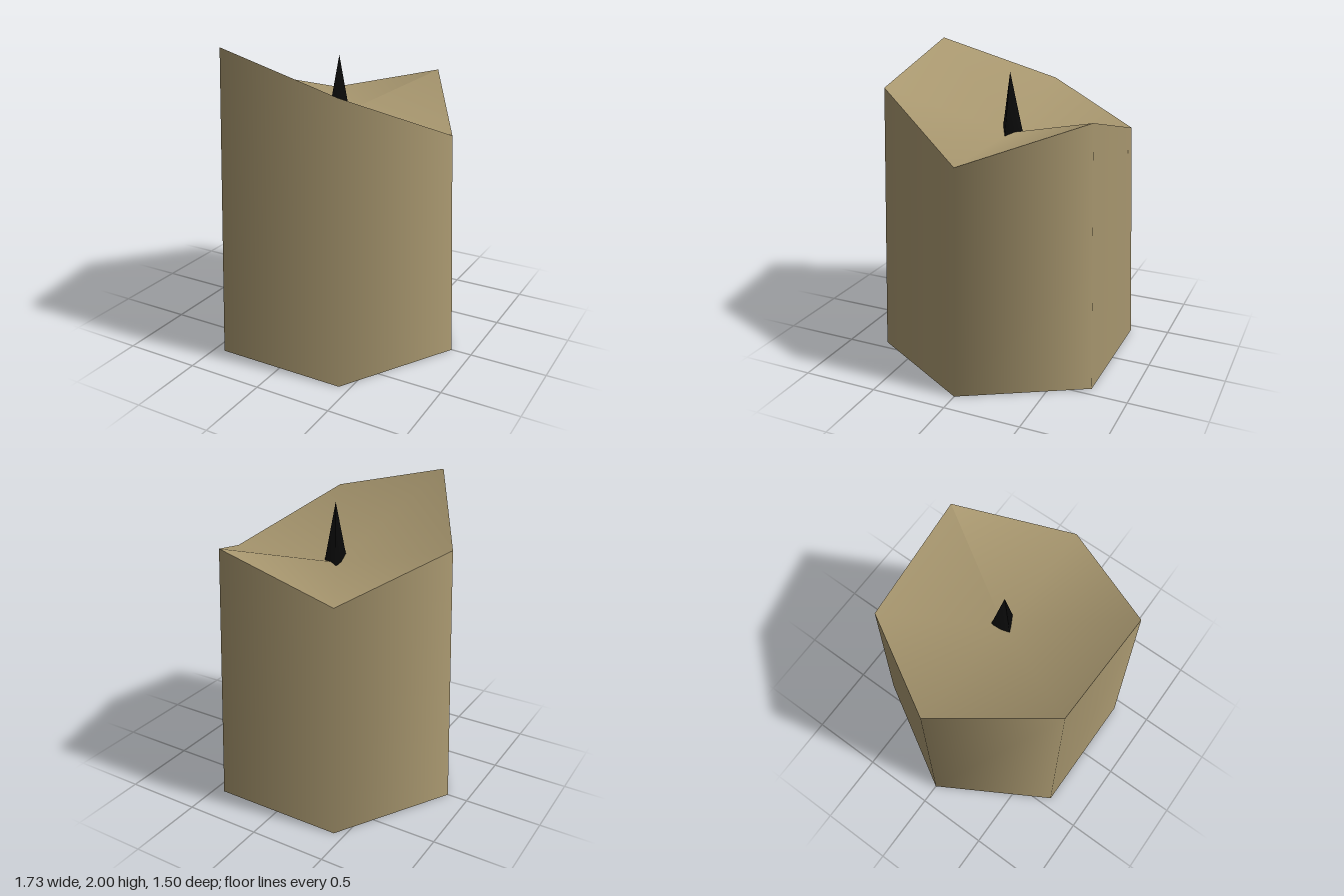
import * as THREE from 'three';

// Rim heights, one per corner, anticlockwise seen from above, from the +x corner
const RIM = [1.46, 1.7, 1.49, 1.7, 2.0, 1.79];
const CENTRE = 1.48;
const TOP_R = 0.8, BASE_R = 0.865;

function rimHeight(x, z) {
  if (Math.hypot(x, z) < 0.1) return CENTRE;
  const i = Math.round(Math.atan2(-z, x) / (Math.PI / 3));
  return RIM[(i + 6) % 6];
}

// Lift every vertex above y = 0 to the uneven melted rim
function melt(geometry) {
  const p = geometry.attributes.position;
  for (let i = 0; i < p.count; i++) {
    if (p.getY(i) > 0.5) p.setY(i, rimHeight(p.getX(i), p.getZ(i)));
  }
  return geometry;
}

export function createModel() {
  const wax = new THREE.MeshStandardMaterial({ color: 0xa8976f });
  wax.name = 'wax';
  const char = new THREE.MeshStandardMaterial({ color: 0x0a0a0a });
  char.name = 'charred black';

  const group = new THREE.Group();
  group.name = 'candle';
  const add = (name, geometry, material) => {
    const mesh = new THREE.Mesh(geometry, material);
    mesh.name = name;
    group.add(mesh);
    return mesh;
  };

  // Six-sided tapered body with smooth sides
  const side = new THREE.CylinderGeometry(TOP_R, BASE_R, 1, 6, 1, true, Math.PI / 6);
  side.translate(0, 0.5, 0);
  add('waxBody', melt(side), wax);

  // Hollowed top, a fan dipping to the wick
  const top = new THREE.CircleGeometry(TOP_R, 6, Math.PI / 3);
  top.rotateX(-Math.PI / 2).translate(0, 1, 0);
  melt(top).computeVertexNormals();
  add('meltedTop', top, wax);

  // Flat underside
  add('base', new THREE.CircleGeometry(BASE_R, 6).rotateX(Math.PI / 2), wax);

  // Three-sided pointed wick, sunk a little into the wax
  const wick = new THREE.CylinderGeometry(0, 0.09, 0.43, 3, 1, false, Math.PI / 2);
  add('wick', wick, char).position.set(0.012, 1.88 - 0.215, 0);

  return group;
}
